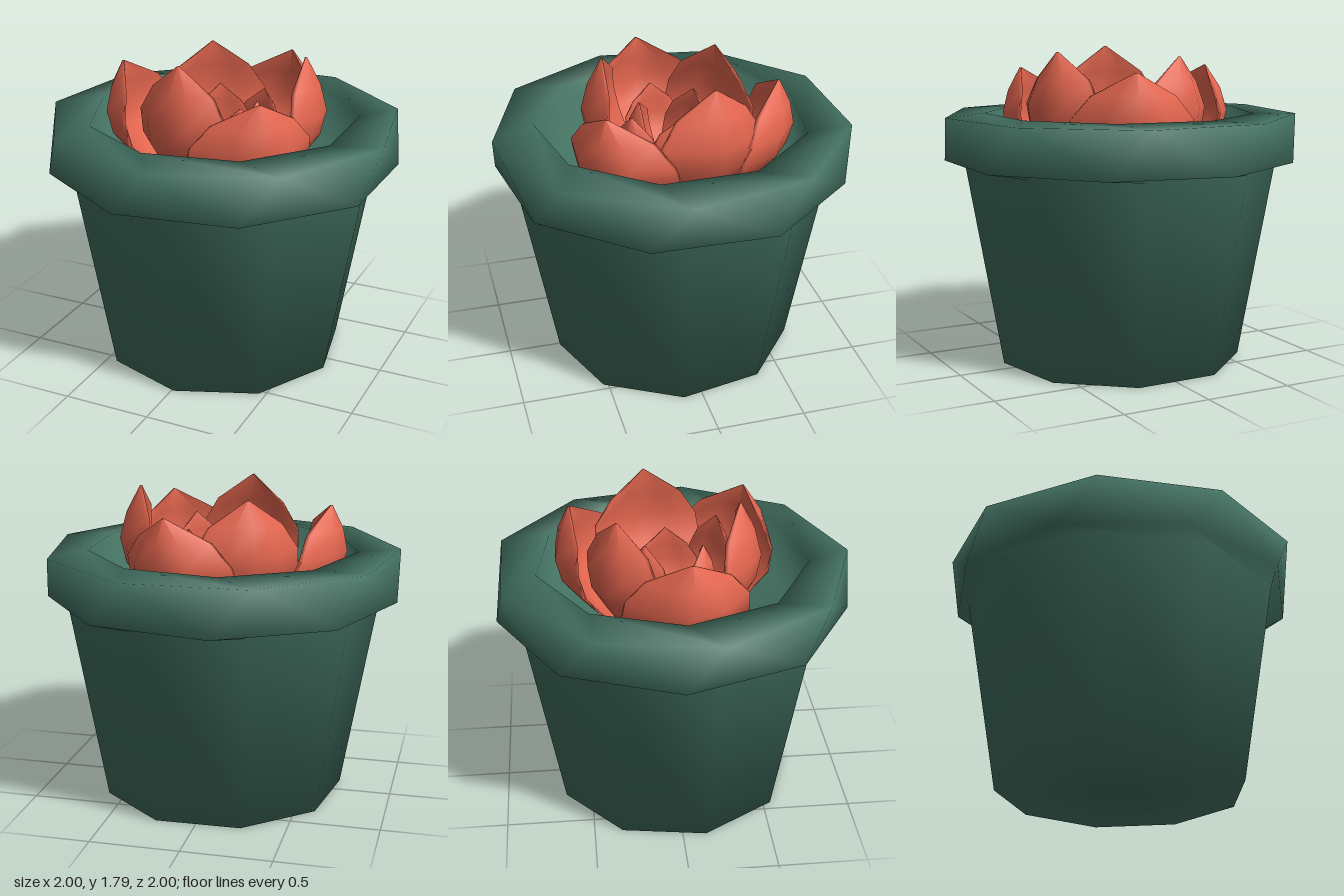
import * as THREE from 'three';
import { mergeVertices } from 'three/addons/utils/BufferGeometryUtils.js';

const rad = THREE.MathUtils.degToRad;
const lerp = THREE.MathUtils.lerp;
const green = new THREE.MeshStandardMaterial({ color: 0x427060 });
const coral = new THREE.MeshStandardMaterial({ color: 0xe4664f });

// Nine-sided pot with a thick collar, a hollow mouth and a soil floor
function makePot() {
  const profile = [
    [0, 0], [0.7, 0], [0.9, 1.14], [1.0, 1.16], [1.01, 1.42],
    [0.77, 1.43], [0.76, 1.08], [0, 1.05],
  ].map(([r, y]) => new THREE.Vector2(r, y));
  const geo = new THREE.LatheGeometry(profile, 9, rad(1));
  // Twist the collar's lower ring and the mouth against the upper ring
  const twist = [0, 0, 0, -12, 0, -10, -10, 0];
  const pos = geo.attributes.position, nor = geo.attributes.normal;
  const axis = new THREE.Vector3(0, 1, 0), v = new THREE.Vector3();
  for (let i = 0; i < pos.count; i++) {
    const a = rad(twist[i % profile.length]);
    for (const attr of [pos, nor]) {
      v.fromBufferAttribute(attr, i).applyAxisAngle(axis, a);
      attr.setXYZ(i, v.x, v.y, v.z);
    }
  }
  const pot = new THREE.Mesh(geo, green);
  pot.name = 'pot';
  return pot;
}

// Fleshy cupped leaf: a subdivided box bent along its height, tapering to a point
function makeLeaf({ width, cup, bulge, tip, tipY, thick, root }) {
  const rows = 5, baseY = 1.04;
  const widths = [0.45, 0.8, 1, 0.96, 0.66, 0.02];
  const swell = [0, 0.58, 0.9, 1];
  let geo = new THREE.BoxGeometry(2, 1, 2, 4, rows, 1);
  const pos = geo.attributes.position;
  for (let i = 0; i < pos.count; i++) {
    const s = pos.getX(i), t = pos.getY(i) + 0.5, n = pos.getZ(i);
    const k = Math.round(t * rows);
    const r = k <= 3 ? lerp(root, bulge, swell[k]) : lerp(bulge, tip, (k - 3) / 2);
    const fat = thick * (1 - 0.75 * s * s) * (k === rows ? 0.15 : 1);
    const w = widths[k];
    pos.setXYZ(i, s * width * w, lerp(baseY, tipY, t), r - cup * w * s * s + n * fat);
  }
  geo.deleteAttribute('normal');
  geo.deleteAttribute('uv');
  geo = mergeVertices(geo, 1e-4);
  geo.computeVertexNormals();
  return geo;
}

// Four whorls of three leaves; each leaf is [angle, tip radius, tip height]
const whorls = [
  { name: 'outerLeaf', width: 0.35, cup: 0.2, thick: 0.045, root: 0.28, lean: 0.05,
    leaves: [[71, 0.59, 1.68], [185, 0.61, 1.68], [-48, 0.62, 1.67]] },
  { name: 'middleLeaf', width: 0.32, cup: 0.12, thick: 0.045, root: 0.2, lean: 0.08,
    leaves: [[124, 0.38, 1.75], [-105, 0.38, 1.79], [15, 0.46, 1.78]] },
  { name: 'innerLeaf', width: 0.17, cup: 0.06, thick: 0.035, root: 0.14, lean: 0.02,
    leaves: [[70, 0.34, 1.5], [185, 0.36, 1.49], [-51, 0.36, 1.57]] },
  { name: 'heartLeaf', width: 0.19, cup: 0.08, thick: 0.035, root: 0.07, lean: 0.04,
    leaves: [[120, 0.18, 1.55], [-107, 0.18, 1.52], [5, 0.2, 1.52]] },
];

export function createModel() {
  const model = new THREE.Group();
  model.name = 'pottedSucculent';
  model.add(makePot());

  const plant = new THREE.Group();
  plant.name = 'rosette';
  for (const whorl of whorls) {
    whorl.leaves.forEach(([angle, tip, tipY], i) => {
      const geo = makeLeaf({ ...whorl, tip, tipY, bulge: tip + whorl.lean });
      const leaf = new THREE.Mesh(geo, coral);
      leaf.name = `${whorl.name}${i + 1}`;
      leaf.rotation.y = rad(angle + 90);
      plant.add(leaf);
    });
  }
  model.add(plant);
  return model;
}
